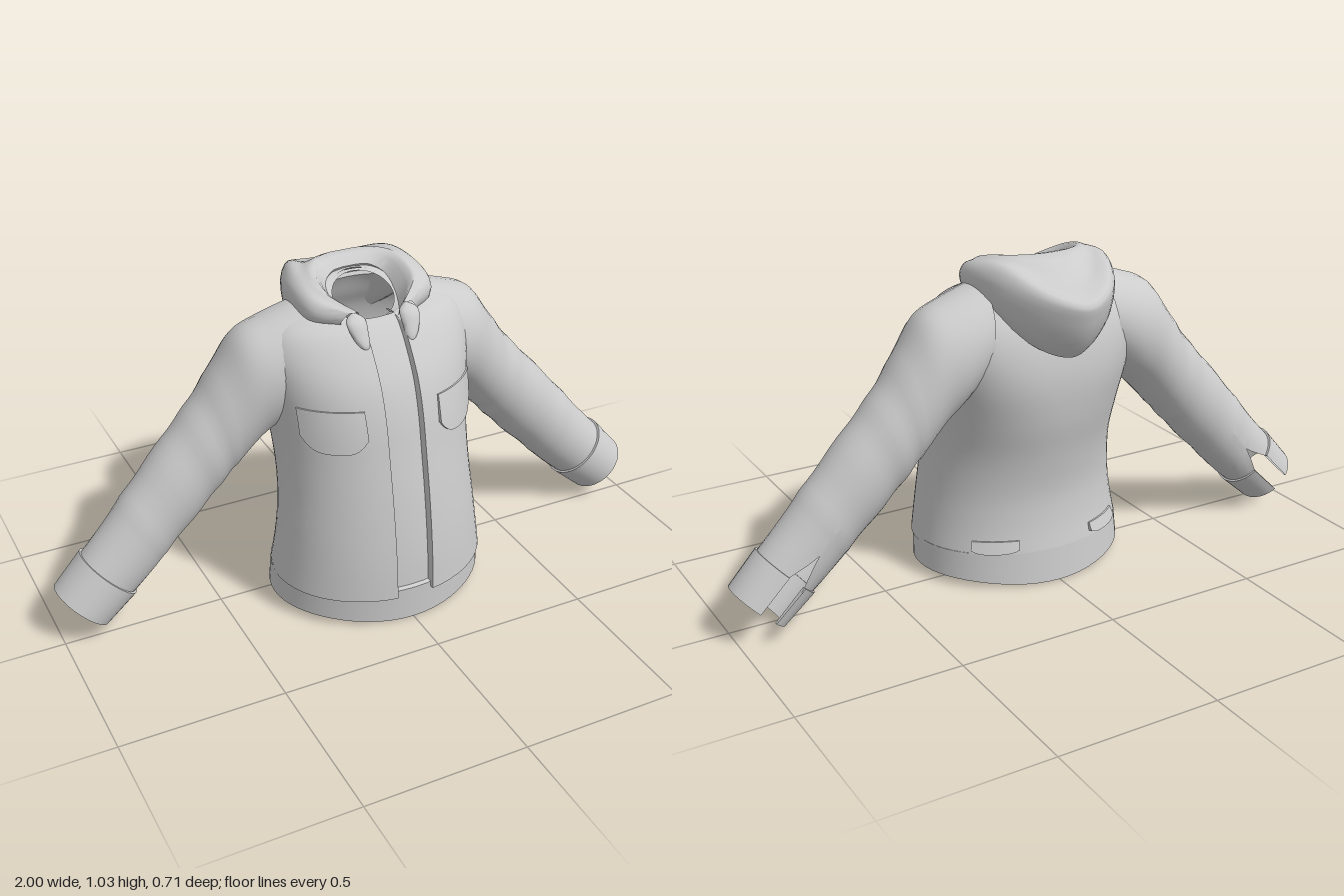
import * as THREE from 'three';
import { toCreasedNormals } from 'three/addons/utils/BufferGeometryUtils.js';

const cloth = new THREE.MeshStandardMaterial({ color: 0xcccccc, side: THREE.DoubleSide });
const TAU = Math.PI * 2;

// Skin a surface over a list of rings, each an array of [x, y, z]
function loft(name, rings, crease = 0.75) {
  const n = rings[0].length, index = [];
  for (let i = 0; i < rings.length - 1; i++) {
    for (let j = 0; j < n - 1; j++) {
      const a = i * n + j, b = a + n;
      index.push(a, a + 1, b, a + 1, b + 1, b);
    }
  }
  const geo = new THREE.BufferGeometry();
  geo.setAttribute('position', new THREE.Float32BufferAttribute(rings.flat(2), 3));
  geo.setIndex(index);
  const mesh = new THREE.Mesh(toCreasedNormals(geo, crease), cloth);
  mesh.name = name;
  return mesh;
}

// Catmull-Rom interpolation between rows of numbers
function smooth(rows, steps) {
  const out = [], at = i => rows[Math.min(Math.max(i, 0), rows.length - 1)];
  for (let i = 0; i < rows.length - 1; i++) {
    for (let k = 0; k < steps; k++) {
      const t = k / steps;
      out.push(rows[i].map((p1, c) => {
        const p0 = at(i - 1)[c], p2 = at(i + 1)[c], p3 = at(i + 2)[c];
        return p1 + 0.5 * t * (p2 - p0 + t * (2 * p0 - 5 * p1 + 4 * p2 - p3 + t * (3 * (p1 - p2) + p3 - p0)));
      }));
    }
  }
  out.push(rows[rows.length - 1]);
  return out;
}

// Torso sections: y, half width, front z, back z, rise towards the back, roundness of the back
const torso = smooth([
  [0.112, 0.342, 0.36, -0.197, 0.027, 1], [0.2, 0.328, 0.354, -0.182, 0, 1], [0.3, 0.316, 0.343, -0.177, 0, 1],
  [0.42, 0.306, 0.325, -0.195, 0, 1], [0.54, 0.306, 0.302, -0.222, 0, 0.92], [0.66, 0.315, 0.277, -0.235, 0, 0.78],
  [0.76, 0.325, 0.243, -0.225, 0, 0.7], [0.84, 0.325, 0.195, -0.2, 0, 0.72], [0.9, 0.295, 0.147, -0.165, 0, 0.82],
  [0.938, 0.22, 0.122, -0.135, 0.2, 1], [0.955, 0.16, 0.1, -0.11, 0.42, 1], [0.95, 0.105, 0.085, -0.09, 0.6, 1],
], 4);

// Point on a torso section, at an angle measured from the front towards +x
function onTorso([y, w, f, b, rise = 0, round = 1], angle, out = 0) {
  const s = Math.sin(angle), c = Math.cos(angle), power = c < 0 ? round : 1;
  const x = (w + out) * Math.sign(s) * Math.abs(s) ** power;
  const z = (f + b) / 2 + ((f - b) / 2 + out) * Math.sign(c) * Math.abs(c) ** power;
  return [x, y - rise * z, z];
}

function sectionAt(y) {
  const i = Math.max(torso.findIndex(s => s[0] >= y), 1), a = torso[i - 1], b = torso[i];
  const t = (y - a[0]) / (b[0] - a[0]);
  return a.map((v, k) => v + (b[k] - v) * t);
}

// Ring round the torso; halfGap leaves the front open and turns its edges inwards
function torsoRing(section, out, halfGap = 0) {
  const gap = Math.asin(halfGap / section[1]), ring = [];
  for (let j = 0; j <= 56; j++) ring.push(onTorso(section, gap + (TAU - 2 * gap) * j / 56, out));
  if (halfGap) {
    ring.unshift(onTorso(section, gap, -0.024));
    ring.push(onTorso(section, -gap, -0.024));
  }
  return ring;
}

// Raised patch following the torso, with rounded lower corners and a flatter top
function patch(name, a0, a1, y0, y1, round, lift) {
  const rings = [], n = 14;
  for (let i = -1; i <= n + 1; i++) {
    const u = Math.min(Math.max(i / n, 0), 1), ring = [];
    const low = y0 + round * Math.pow(Math.abs(2 * u - 1), 3.5);
    for (let j = -1; j <= 7; j++) {
      const v = Math.min(Math.max(j / 6, 0), 1);
      const edge = i < 0 || i > n || j < 0 || j > 6;
      ring.push(onTorso(sectionAt(low + (y1 - low) * v), a0 + (a1 - a0) * u, edge ? -0.004 : lift * (1 - 0.5 * v)));
    }
    rings.push(ring);
  }
  return loft(name, rings, 0.6);
}

// Sleeve section: top x, y; underside x, y; front z, back z; half angle of the slit at the back
function sleeveRing([tx, ty, bx, by, f, b, gap], side, scale = 1) {
  const ring = [];
  for (let j = 0; j <= 28; j++) {
    const a = gap + (TAU - 2 * gap) * j / 28;
    const s = Math.sin(a) * scale / 2, c = -Math.cos(a) * scale / 2;
    ring.push([side * ((tx + bx) / 2 + (tx - bx) * s), (ty + by) / 2 + (ty - by) * s, (f + b) / 2 + (f - b) * c]);
  }
  return ring;
}

const sleeveRows = smooth([
  [0.19, 0.957, 0.24, 0.64, 0.11, -0.19, 0], [0.295, 0.926, 0.295, 0.59, 0.1, -0.196, 0],
  [0.382, 0.889, 0.345, 0.545, 0.083, -0.192, 0], [0.445, 0.805, 0.4, 0.485, 0.066, -0.187, 0],
  [0.53, 0.69, 0.45, 0.43, 0.052, -0.178, 0], [0.62, 0.59, 0.52, 0.355, 0.045, -0.168, 0],
  [0.75, 0.445, 0.635, 0.24, 0.042, -0.155, 0], [0.83, 0.35, 0.7, 0.175, 0.042, -0.147, 0],
  [0.918, 0.255, 0.775, 0.108, 0.042, -0.142, 0.35],
], 5);

function sleeve(side) {
  const group = new THREE.Group();
  group.name = side > 0 ? 'leftSleeve' : 'rightSleeve';
  // gentle fabric folds around the elbow
  const rings = sleeveRows.map((row, i) => {
    const fold = i > 16 && i < 32 ? 0.016 * Math.sin(i * 1.25) : 0;
    return sleeveRing(row, side, 1 + fold);
  });
  group.add(loft('sleeve', rings, 1));
  // slit cuff with thickness
  const start = [0.912, 0.272, 0.757, 0.115, 0.05, -0.15, 0.3];
  const end = [1.0, 0.172, 0.853, 0.034, 0.05, -0.148, 0.3];
  group.add(loft('cuff', [
    sleeveRing(start, side, 0.9), sleeveRing(start, side), sleeveRing(end, side),
    sleeveRing(end, side, 0.94), sleeveRing(start, side, 0.88),
  ]));
  return group;
}

// Hood stations from the front end to the middle of the back:
// neck edge, top rim, dish, outer rim, lower rim, bag, underside
const hoodHalf = [
  [0.06, 0.9, 0.1, 0.07, 0.955, 0.11, 0.085, 0.957, 0.11, 0.1, 0.957, 0.108, 0.12, 0.935, 0.1, 0.115, 0.915, 0.09, 0.09, 0.9, 0.09],
  [0.097, 0.935, 0.03, 0.135, 1.0, 0.04, 0.16, 0.997, 0.045, 0.185, 0.988, 0.05, 0.2, 0.96, 0.05, 0.195, 0.925, 0.04, 0.16, 0.92, 0.03],
  [0.1, 0.98, -0.05, 0.135, 1.03, -0.05, 0.165, 1.025, -0.055, 0.195, 1.012, -0.06, 0.213, 0.98, -0.07, 0.203, 0.92, -0.08, 0.16, 0.9, -0.08],
  [0.065, 1.005, -0.085, 0.105, 1.04, -0.11, 0.135, 1.025, -0.14, 0.165, 1.02, -0.175, 0.185, 0.965, -0.19, 0.17, 0.87, -0.19, 0.12, 0.83, -0.17],
  [0.03, 1.01, -0.093, 0.055, 1.043, -0.14, 0.07, 0.99, -0.22, 0.1, 0.972, -0.292, 0.11, 0.925, -0.298, 0.1, 0.825, -0.265, 0.06, 0.785, -0.22],
  [0, 1.01, -0.095, 0, 1.042, -0.145, 0, 0.978, -0.25, 0, 0.94, -0.346, 0, 0.9, -0.35, 0, 0.812, -0.312, 0, 0.765, -0.235],
];

function hood() {
  const flip = row => row.map((v, i) => (i % 3 ? v : -v));
  const rows = [...hoodHalf, ...hoodHalf.slice(0, -1).reverse().map(flip)];
  const rings = smooth(rows, 5).map(row => {
    const points = [];
    for (let i = 0; i < row.length; i += 3) points.push(row.slice(i, i + 3));
    return smooth([...points, points[0]], 3);
  });
  return loft('hood', rings, 0.8);
}

// Small folded collar flap beside the front opening
function collarFlap(side) {
  const rows = smooth([
    [0.067, 0.853, 0.165, 0, 0], [0.075, 0.87, 0.16, 0.016, 0.012], [0.083, 0.905, 0.142, 0.027, 0.016],
    [0.086, 0.94, 0.12, 0.03, 0.018], [0.085, 0.957, 0.1, 0, 0],
  ], 3);
  return loft('collarFlap', rows.map(([x, y, z, rx, rz]) => Array.from({ length: 15 }, (_, j) => {
    const a = j / 14 * TAU;
    return [side * (x + rx * Math.cos(a)), y, z + rz * Math.sin(a)];
  })), 1);
}

// Waistband with a thick lower edge that dips at front and back
function waistband() {
  const base = [0.12, 0.34, 0.347, -0.195], hem = [0.034, 0.345, 0.345, -0.206];
  const dip = ring => ring.map(([x, y, z]) => [x, y - 0.024 * (1 - (x / 0.345) ** 2) ** 2, z]);
  return loft('waistband', [
    torsoRing([0.13, ...base.slice(1)], -0.025), torsoRing(base, 0),
    dip(torsoRing(hem, 0)), dip(torsoRing(hem, -0.04)), torsoRing(base, -0.034),
  ]);
}

export function createModel() {
  const jacket = new THREE.Group();
  jacket.name = 'hoodedJacket';

  // open outer shell, with the closed layer seen between its front edges
  jacket.add(loft('outerShell', [torsoRing(torso[0], -0.022, 0.06), ...torso.map(s => torsoRing(s, 0, 0.06))]));
  jacket.add(loft('frontPanelAndLining', torso.map(s => torsoRing(s, s[1] < 0.2 ? -0.01 : -0.024)), 1));
  jacket.add(waistband(), hood());

  for (const side of [1, -1]) {
    jacket.add(sleeve(side), collarFlap(side));
    jacket.add(patch('chestPocket', side * 0.38, side * 1.08, 0.583, 0.71, 0.045, 0.009));
    jacket.add(patch('waistTab', side * 2.3, side * 2.76, 0.117, 0.157, 0.012, 0.01));
  }
  return jacket;
}
